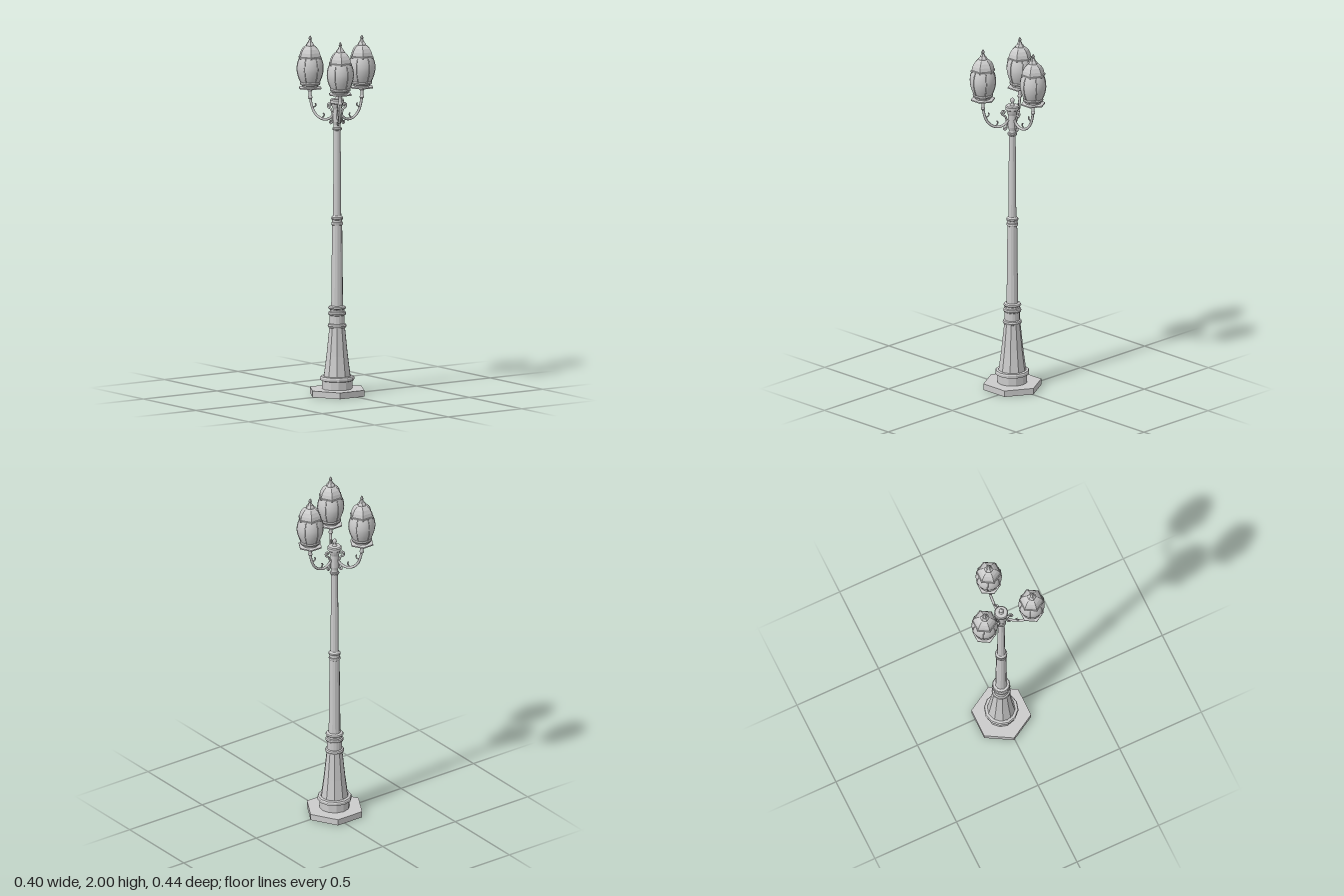
import * as THREE from 'three';

const flat = new THREE.MeshStandardMaterial({ color: 0xcccccc, flatShading: true, side: THREE.DoubleSide });
const smooth = new THREE.MeshStandardMaterial({ color: 0xcccccc, side: THREE.DoubleSide });

function add(parent, name, geometry, material = flat) {
  const mesh = new THREE.Mesh(geometry, material);
  mesh.name = name;
  parent.add(mesh);
  return mesh;
}

// Lathe from [radius, height] pairs; phi turns the first corner (0 = +z)
function lathe(profile, sides, phi = 0) {
  return new THREE.LatheGeometry(profile.map(([r, y]) => new THREE.Vector2(r, y)), sides, phi);
}

// Rounded moulding profile between two heights
function bead(y0, y1, r, inner) {
  const pts = [];
  for (let i = 0; i <= 4; i++) {
    const a = (i / 4) * Math.PI;
    pts.push([inner + (r - inner) * Math.sin(a), y0 + (y1 - y0) * (1 - Math.cos(a)) / 2]);
  }
  return pts;
}

// Tube through [radius, height] points in the plane of an arm
function tube(points, r, segments = 24) {
  const curve = new THREE.CatmullRomCurve3(points.map(([x, y]) => new THREE.Vector3(x, y, 0)));
  return new THREE.TubeGeometry(curve, segments, r, 8);
}

function createPost() {
  const post = new THREE.Group();
  post.name = 'post';

  // Hexagonal foot with corners on the x axis
  add(post, 'foot', lathe([[0, 0], [0.166, 0], [0.166, 0.035], [0, 0.035]], 6, Math.PI / 2));

  add(post, 'plinth', lathe([
    [0.084, 0.035], [0.084, 0.08], [0.095, 0.084], [0.096, 0.098], [0.092, 0.105], [0.077, 0.107],
  ], 12));
  add(post, 'taperedBase', lathe([[0.078, 0.1], [0.062, 0.22], [0.045, 0.38]], 10));
  add(post, 'lowerCollar', lathe([
    ...bead(0.375, 0.4, 0.053, 0.042), [0.042, 0.445],
    ...bead(0.445, 0.468, 0.051, 0.041), [0.041, 0.478],
    ...bead(0.478, 0.498, 0.05, 0.036), [0.031, 0.5],
  ], 16));
  add(post, 'lowerShaft', lathe([[0.033, 0.49], [0.028, 0.96]], 12));
  add(post, 'middleCollar', lathe([
    [0.027, 0.95], ...bead(0.95, 0.968, 0.033, 0.028), [0.028, 0.98],
    ...bead(0.98, 0.998, 0.034, 0.027), [0.022, 1.005],
  ], 16));
  add(post, 'upperShaft', lathe([[0.023, 1], [0.019, 1.5]], 12));

  // Hub carrying the arms
  add(post, 'hub', lathe([
    [0.019, 1.478], ...bead(1.48, 1.498, 0.027, 0.02), [0.019, 1.51],
    [0.024, 1.53], [0.024, 1.6], [0.03, 1.615], [0.034, 1.63],
    [0.039, 1.634], [0.039, 1.65], [0.034, 1.656], [0, 1.658],
  ], 16));
  add(post, 'hubFinial', lathe([
    [0.015, 1.655], [0.008, 1.665], [0.007, 1.672], [0.013, 1.682], [0.011, 1.692], [0.004, 1.699], [0, 1.702],
  ], 12), smooth);
  return post;
}

function createArm() {
  const arm = new THREE.Group();
  arm.name = 'arm';
  add(arm, 'armTube', tube([
    [0.02, 1.575], [0.04, 1.55], [0.07, 1.537], [0.105, 1.543],
    [0.138, 1.57], [0.158, 1.615], [0.165, 1.66], [0.166, 1.71],
  ], 0.0075, 36), smooth);

  // Scroll bracket against the hub
  add(arm, 'scroll', tube([
    [0.046, 1.612], [0.042, 1.62], [0.049, 1.629], [0.059, 1.62], [0.055, 1.606], [0.04, 1.597],
    [0.031, 1.575], [0.029, 1.545], [0.033, 1.523], [0.041, 1.516], [0.046, 1.525], [0.04, 1.531],
  ], 0.0055, 44), smooth);

  // Curling leaves growing from the arm
  add(arm, 'innerLeaf', tube([[0.1, 1.541], [0.088, 1.549], [0.08, 1.563], [0.086, 1.572]], 0.004, 12), smooth);
  add(arm, 'outerLeaf', tube([[0.155, 1.6], [0.141, 1.603], [0.131, 1.613], [0.134, 1.624]], 0.004, 12), smooth);

  // Moulded socket under the lamp
  add(arm, 'socket', lathe([
    [0.008, 1.645], [0.012, 1.65], [0.012, 1.657], [0.009, 1.663],
    [0.009, 1.685], [0.014, 1.695], [0.017, 1.707],
  ], 12)).position.x = 0.166;
  return arm;
}

function createLamp() {
  const lamp = new THREE.Group();
  lamp.name = 'lamp';
  const corner = Math.PI / 2;

  add(lamp, 'plate', lathe([[0, 1.704], [0.069, 1.704], [0.069, 1.711], [0.045, 1.714], [0, 1.714]], 6, corner));
  add(lamp, 'cup', lathe([
    [0.043, 1.712], [0.046, 1.722], [0.055, 1.726], [0.057, 1.734], [0.054, 1.741], [0.046, 1.743],
  ], 24));

  // Egg-shaped globe, fullest above its middle
  const side = [
    [0.05, 1.735], [0.06, 1.758], [0.068, 1.782], [0.0725, 1.808],
    [0.072, 1.83], [0.068, 1.852], [0.059, 1.876], [0.045, 1.89],
  ];
  const outline = new THREE.SplineCurve(side.map(([r, y]) => new THREE.Vector2(r, y))).getPoints(18);
  add(lamp, 'globe', new THREE.LatheGeometry(outline, 28), smooth);

  // Slim ribs over the globe
  for (let i = 0; i < 6; i++) {
    const rib = add(lamp, 'rib', tube(side.slice(0, 7), 0.0028, 16), smooth);
    rib.rotation.y = Math.PI / 6 + i * Math.PI / 3;
  }

  // Bell-shaped hexagonal roof and finial
  add(lamp, 'roof', lathe([
    [0.05, 1.873], [0.07, 1.873], [0.07, 1.881], [0.065, 1.884], [0.06, 1.905],
    [0.049, 1.925], [0.034, 1.939], [0.026, 1.943], [0.024, 1.951], [0.016, 1.96], [0, 1.962],
  ], 6, corner));
  add(lamp, 'roofFinial', lathe([
    [0.016, 1.957], [0.012, 1.968], [0.007, 1.976], [0.01, 1.982], [0.008, 1.989], [0.004, 1.996], [0, 2],
  ], 6, corner));
  return lamp;
}

export function createModel() {
  const model = new THREE.Group();
  model.name = 'streetLamp';
  const post = createPost();
  post.position.set(-0.037, 0, -0.005);
  model.add(post);

  // Three arms, each with its lamp
  for (let i = 0; i < 3; i++) {
    const branch = new THREE.Group();
    branch.name = 'branch';
    const lamp = createLamp();
    lamp.position.x = 0.166;
    branch.add(createArm(), lamp);
    branch.position.set(-0.037, 0, -0.002);
    branch.rotation.y = i * Math.PI * 2 / 3;
    model.add(branch);
  }
  return model;
}
